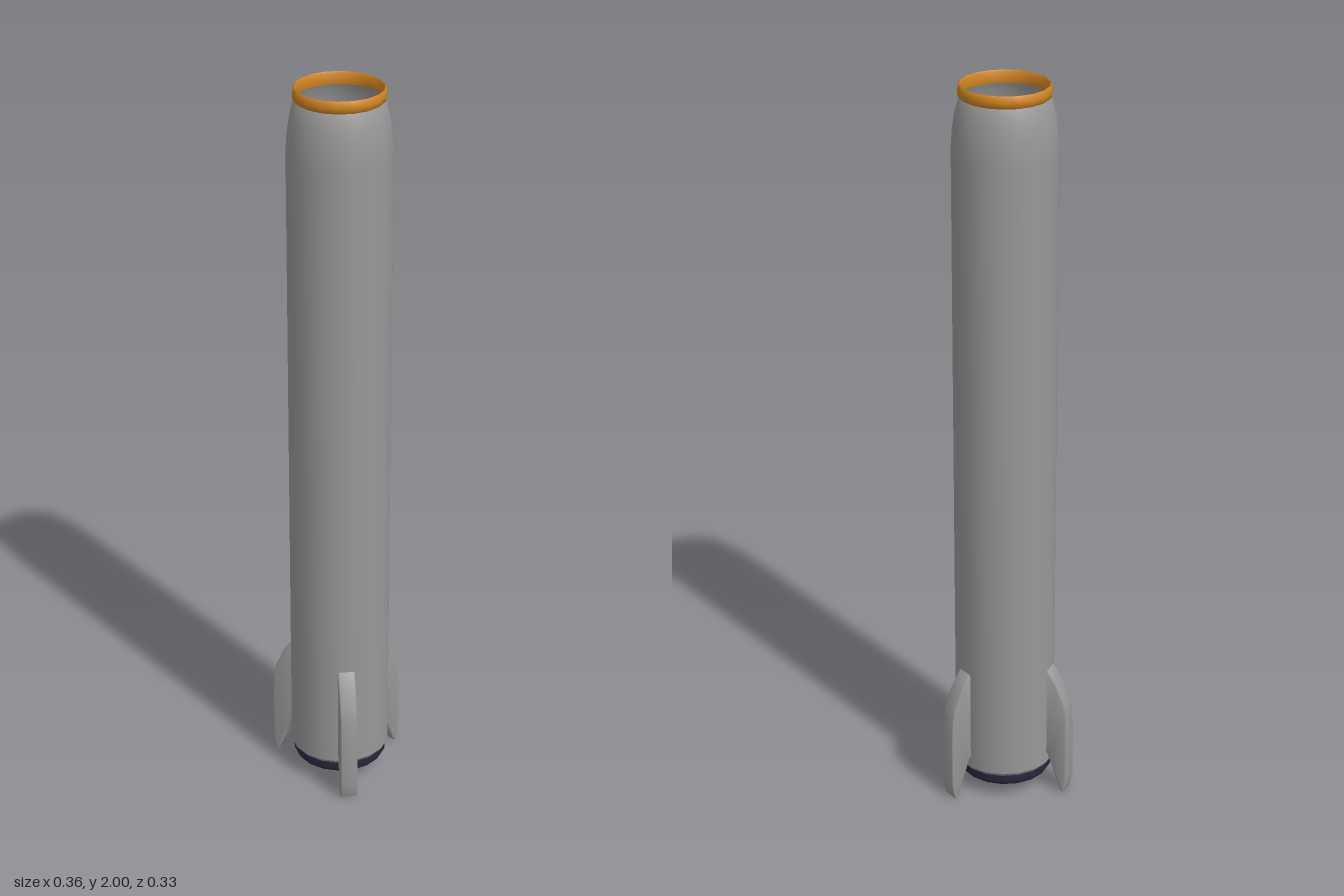
import * as THREE from 'three';
import { toCreasedNormals } from 'three/addons/utils/BufferGeometryUtils.js';

const SIDES = 18;
const AXIS_Z = -0.03; // the hull sits slightly behind centre because of the three fins

const material = (color) => new THREE.MeshStandardMaterial({ color, side: THREE.DoubleSide });
const hullGrey = material(0x989898);
const engineGrey = material(0xb0b0b0);
const orange = material(0xd08420);
const navy = material(0x2b2940);

// Revolve [radius, height] pairs, keeping hard profile corners sharp
function lathe(name, points, sides, mat, crease = 0.5) {
  const profile = points.map(([r, y]) => new THREE.Vector2(r, y));
  const geometry = toCreasedNormals(new THREE.LatheGeometry(profile, sides), crease);
  geometry.rotateY(Math.PI / sides);
  const mesh = new THREE.Mesh(geometry, mat);
  mesh.name = name;
  return mesh;
}

// Swept landing fin: radial outline extruded with softened edges, pointing to +z
function finGeometry() {
  const outline = [
    [0.125, 0.38], [0.136, 0.375], [0.162, 0.335], [0.184, 0.285], [0.191, 0.25], [0.195, 0.19],
    [0.195, 0.05], [0.191, 0.02], [0.184, 0.0], [0.176, 0.004], [0.16, 0.05], [0.136, 0.115], [0.125, 0.12],
  ].map(([r, y]) => new THREE.Vector2(r, y));
  const thickness = 0.047;
  const bevel = 0.004;
  const geometry = new THREE.ExtrudeGeometry(new THREE.Shape(outline), {
    depth: thickness - 2 * bevel, bevelThickness: bevel, bevelSize: bevel, bevelOffset: -bevel, bevelSegments: 2,
  });
  geometry.translate(0, 0, bevel - thickness / 2);
  geometry.rotateY(-Math.PI / 2);
  return toCreasedNormals(geometry, 1);
}

export function createModel() {
  const rocket = new THREE.Group();
  rocket.name = 'rocketStage';
  rocket.position.z = AXIS_Z;

  // Hollow hull with a rounded shoulder
  rocket.add(lathe('hull', [
    [0.129, 0.076], [0.136, 0.086], [0.136, 1.825], [0.136, 1.84], [0.133, 1.885], [0.127, 1.925], [0.119, 1.955], [0.113, 1.968],
  ], SIDES, hullGrey));

  // Orange collar around the open top
  rocket.add(lathe('topCollar', [
    [0.112, 1.966], [0.117, 1.97], [0.119, 1.983], [0.117, 1.996], [0.114, 2.0], [0.111, 1.996], [0.111, 1.97], [0.112, 1.966],
  ], SIDES, orange, 0.9));

  // Dark engine plate, closed above and below
  rocket.add(lathe('enginePlate', [
    [0, 0.078], [0.129, 0.078], [0.128, 0.055], [0.122, 0.045], [0, 0.045],
  ], SIDES, navy));

  // Four bells around the centre, throats rising above the plate
  for (let i = 0; i < 4; i++) {
    const angle = (i * Math.PI) / 2;
    const bell = lathe('engineBell', [
      [0, 0.041], [0.032, 0.041], [0.031, 0.08], [0.026, 0.1], [0.018, 0.118], [0.012, 0.125], [0, 0.125],
    ], 16, engineGrey);
    bell.position.set(Math.sin(angle) * 0.052, 0, Math.cos(angle) * 0.052);
    rocket.add(bell);
  }

  // Small central mount between the bells
  rocket.add(lathe('centreMount', [
    [0, 0.028], [0.008, 0.028], [0.014, 0.035], [0.015, 0.046], [0.023, 0.08], [0.012, 0.095], [0, 0.095],
  ], 8, engineGrey));

  // Three fins at equal spacing, one facing the front
  const finGeo = finGeometry();
  for (let i = 0; i < 3; i++) {
    const fin = new THREE.Mesh(finGeo, hullGrey);
    fin.name = 'fin';
    fin.rotation.y = (i * Math.PI * 2) / 3;
    rocket.add(fin);
  }

  const model = new THREE.Group();
  model.name = 'model';
  model.add(rocket);
  return model;
}
